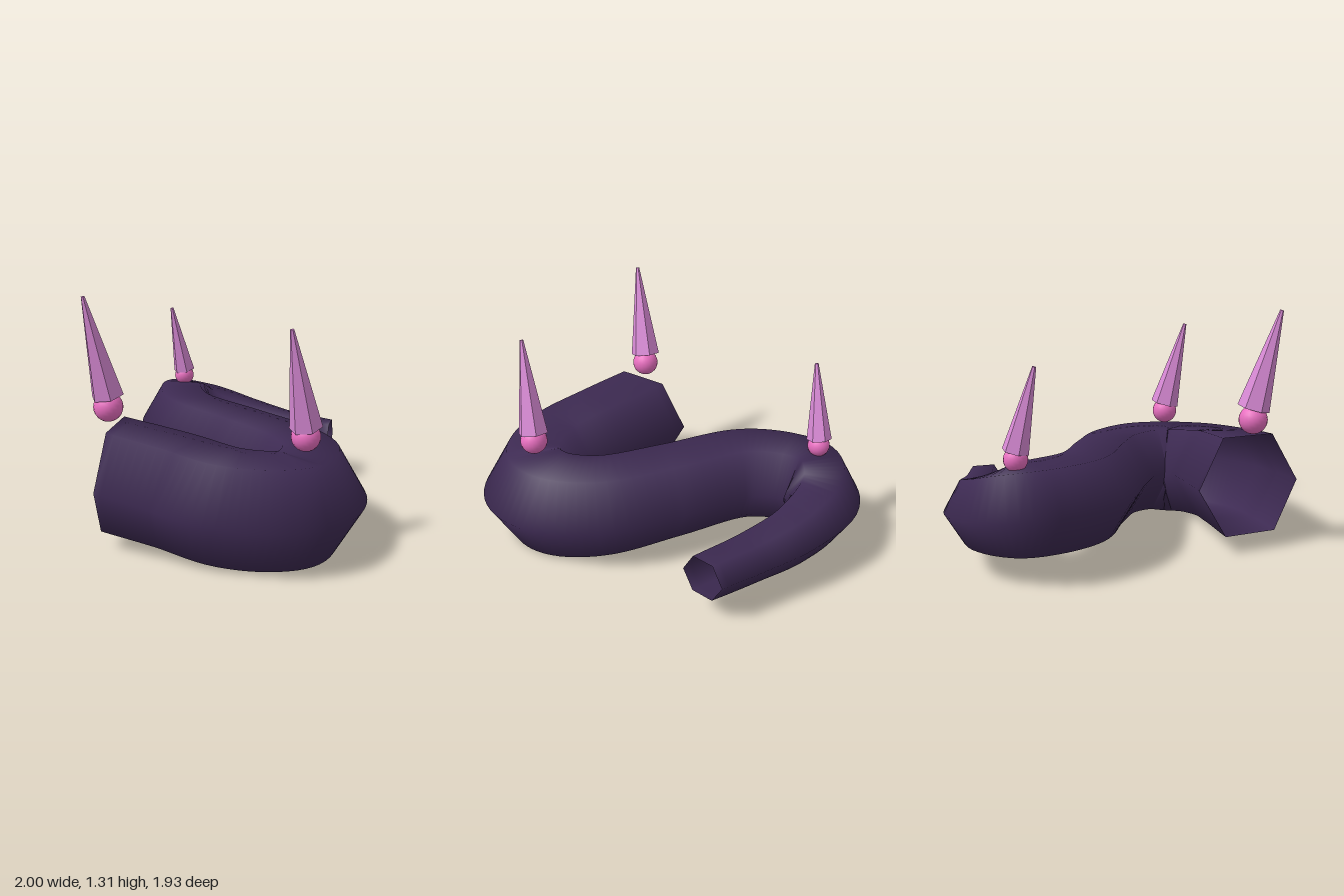
import * as THREE from 'three';

const V = (x, y, z) => new THREE.Vector3(x, y, z);
const SIDES = 6;
const STEPS = 96;

// centreline x, y, z and radius, from the thick front end to the thin back end
const SPINE = [
  [-0.14, 0.36, 0.705, 0.308], [0.2, 0.325, 0.59, 0.302], [0.475, 0.285, 0.495, 0.3],
  [0.645, 0.265, 0.345, 0.3], [0.7, 0.255, 0.19, 0.3], [0.63, 0.265, 0.02, 0.293],
  [0.4, 0.28, -0.11, 0.28], [0, 0.31, -0.138, 0.266], [-0.44, 0.34, -0.15, 0.256],
  [-0.66, 0.35, -0.28, 0.25], [-0.76, 0.35, -0.42, 0.24], [-0.725, 0.325, -0.57, 0.205],
  [-0.48, 0.28, -0.715, 0.162], [-0.2, 0.255, -0.79, 0.136], [0.095, 0.25, -0.86, 0.125],
];

// six-sided tapering tube, open at both ends, rings shared so shading is smooth
function taperedTube() {
  const path = new THREE.CatmullRomCurve3(SPINE.map(([x, y, z]) => V(x, y, z)));
  const radii = new THREE.CatmullRomCurve3(SPINE.map((p, i) => V(i, p[3], 0)), false, 'catmullrom');
  const positions = [];
  const indices = [];
  for (let i = 0; i <= STEPS; i++) {
    const t = i / STEPS;
    const centre = path.getPoint(t);
    const radius = radii.getPoint(t).y;
    const facing = path.getTangent(t);
    facing.z -= 0.3 * Math.pow(2 * t - 1, 8); // the end openings are cut at a slant
    facing.normalize();
    const side = V(0, 1, 0).cross(facing).normalize();
    const up = facing.clone().cross(side);
    for (let j = 0; j < SIDES; j++) {
      const a = (j / SIDES) * Math.PI * 2;
      const p = centre.clone()
        .addScaledVector(side, radius * Math.cos(a))
        .addScaledVector(up, radius * Math.sin(a));
      positions.push(p.x, p.y, p.z);
      if (i < STEPS) {
        const k = (j + 1) % SIDES;
        const a0 = i * SIDES + j, b0 = i * SIDES + k;
        indices.push(a0, b0, a0 + SIDES, b0, b0 + SIDES, a0 + SIDES);
      }
    }
  }
  const geometry = new THREE.BufferGeometry();
  geometry.setAttribute('position', new THREE.Float32BufferAttribute(positions, 3));
  geometry.setIndex(indices);
  geometry.computeVertexNormals();
  return geometry;
}

export function createModel() {
  const model = new THREE.Group();
  model.name = 'spikedCoil';

  const skin = new THREE.MeshStandardMaterial({ color: 0x3d2a52, side: THREE.DoubleSide });
  const pink = new THREE.MeshStandardMaterial({ color: 0xe86fc0 });
  const crystal = new THREE.MeshStandardMaterial({ color: 0xd98ad6, flatShading: true });

  const body = new THREE.Mesh(taperedTube(), skin);
  body.name = 'coiledBody';
  model.add(body);

  // ball with a crystal spike leaning forward above it
  const spikes = [
    { name: 'frontSpike', at: [-0.145, 0.72, 0.715], ball: 0.077, lift: 0.06, base: 0.087, length: 0.535, lean: 0.25 },
    { name: 'leftSpike', at: [0.7, 0.615, 0.153], ball: 0.075, lift: 0.047, base: 0.085, length: 0.52, lean: 0.24 },
    { name: 'rightSpike', at: [-0.77, 0.605, -0.412], ball: 0.061, lift: 0.038, base: 0.068, length: 0.425, lean: 0.24 },
  ];
  for (const s of spikes) {
    const group = new THREE.Group();
    group.name = s.name;
    group.position.set(...s.at);
    const ball = new THREE.Mesh(new THREE.SphereGeometry(s.ball, 20, 14), pink);
    ball.name = s.name + 'Ball';
    const cone = new THREE.Mesh(
      new THREE.CylinderGeometry(0.01, s.base, s.length, 6).translate(0, s.length / 2, 0), crystal);
    cone.name = s.name + 'Crystal';
    cone.position.y = s.lift;
    cone.rotation.x = s.lean;
    group.add(ball, cone);
    model.add(group);
  }
  return model;
}
